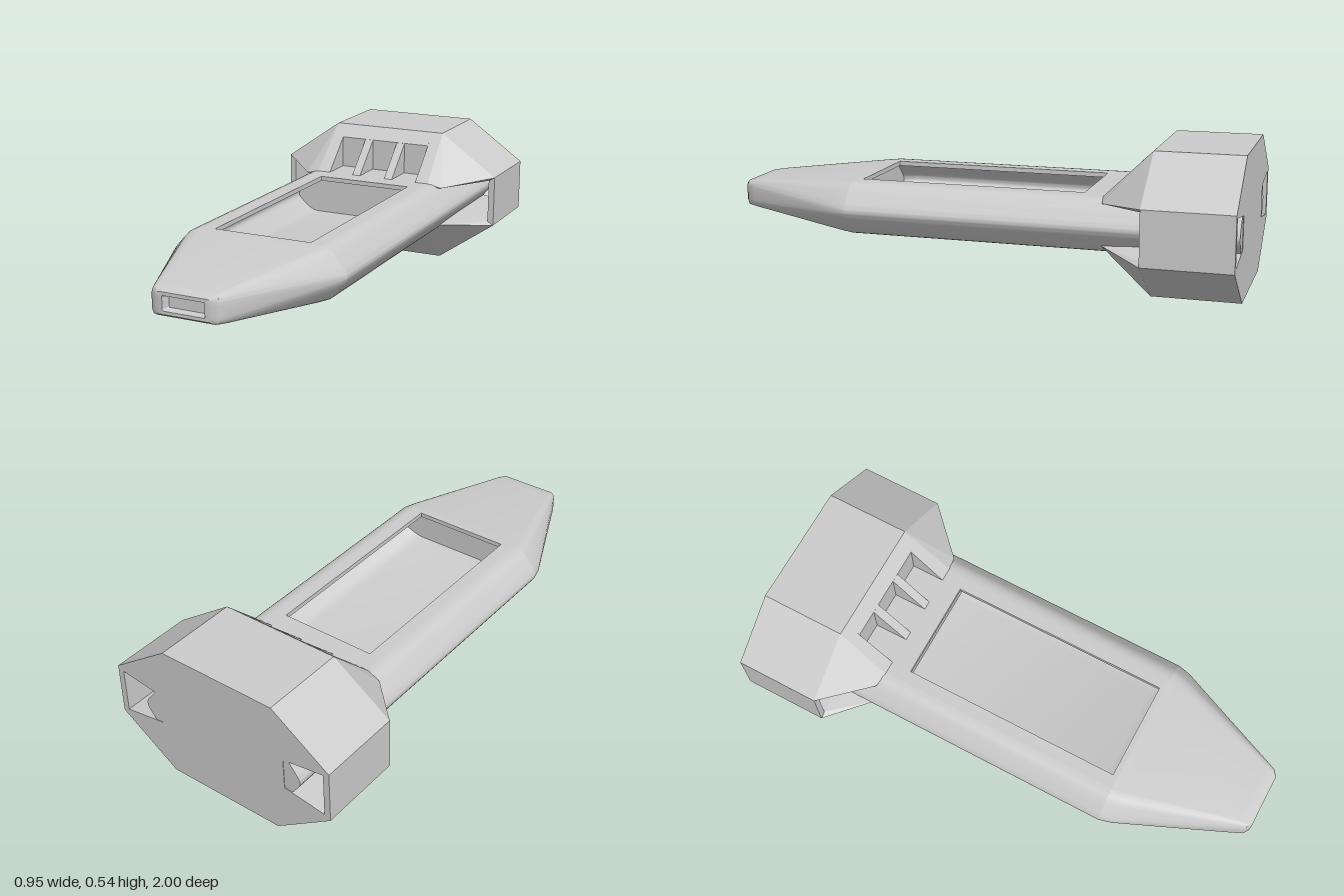
import * as THREE from 'three';
import { toCreasedNormals } from 'three/addons/utils/BufferGeometryUtils.js';
import { ConvexGeometry } from 'three/addons/geometries/ConvexGeometry.js';

const grey = new THREE.MeshStandardMaterial({ color: 0xcccccc });
const greyDouble = new THREE.MeshStandardMaterial({ color: 0xcccccc, side: THREE.DoubleSide });
const V = (x, y, z) => new THREE.Vector3(x, y, z);
const shapeOf = (pts) => new THREE.Shape(pts.map(([x, y]) => new THREE.Vector2(x, y)));

// Eight-cornered, left-right symmetric section with rounded corners, starting and ending on the top edge
function section(z, topW, topY, sideW, sideHi, sideLo, botY, r) {
  const half = [[topW, topY], [sideW, sideHi], [sideW, sideLo], [topW, botY]];
  const c = [...half.map(([x, y]) => V(-x, y, z)), ...half.reverse().map(([x, y]) => V(x, y, z))];
  const out = [];
  c.forEach((p, i) => {
    const toward = (q) => p.clone().lerp(q, Math.min(r / p.distanceTo(q), 1 / 3));
    const a = toward(c[(i + 7) % 8]), b = toward(c[(i + 1) % 8]);
    out.push(...new THREE.QuadraticBezierCurve3(a, p, b).getPoints(4));
  });
  return out;
}

// Skin through sections of rising z, optionally closed across the top and capped
function loft(sections, { closed = true, capBack = false, capFront = false }) {
  const n = sections[0].length, pos = [];
  const tri = (...ps) => ps.forEach((p) => pos.push(p.x, p.y, p.z));
  for (let i = 0; i < sections.length - 1; i++) {
    const A = sections[i], B = sections[i + 1];
    for (let j = 0; j < (closed ? n : n - 1); j++) {
      const k = (j + 1) % n;
      tri(A[j], A[k], B[k]);
      tri(A[j], B[k], B[j]);
    }
  }
  const first = sections[0], last = sections[sections.length - 1];
  for (let j = 1; j < n - 1; j++) {
    if (capBack) tri(first[0], first[j + 1], first[j]);
    if (capFront) tri(last[0], last[j], last[j + 1]);
  }
  const g = new THREE.BufferGeometry();
  g.setAttribute('position', new THREE.Float32BufferAttribute(pos, 3));
  return toCreasedNormals(g, 0.6);
}

// Side profile (z, y) extruded from x0 to x1
function slab(profile, x0, x1) {
  const g = new THREE.ExtrudeGeometry(shapeOf(profile), { depth: x1 - x0, bevelEnabled: false });
  return g.rotateY(-Math.PI / 2).translate(x1, 0, 0);
}

export function createModel() {
  const model = new THREE.Group();
  const add = (name, geometry, material = grey, parent = model) => {
    const m = new THREE.Mesh(geometry, material);
    m.name = name;
    parent.add(m);
    return m;
  };

  // Hexagonal hull, open along the top where the deck sits
  const hull = (z) => section(z, 0.28, 0.36, 0.348, 0.274, 0.246, 0.16, 0.035);
  add('hull', loft([hull(-0.998), hull(0.48)], { closed: false, capBack: true }));

  // Top deck with the rectangular bay opening
  const deckW = hull(0).at(-1).x;
  const deck = shapeOf([[-deckW, -0.48], [deckW, -0.48], [deckW, 0.998], [-deckW, 0.998]]);
  deck.holes.push(new THREE.Path([[-0.195, -0.46], [-0.195, 0.41], [0.195, 0.41], [0.195, -0.46]]
    .map(([x, y]) => new THREE.Vector2(x, y))));
  add('deck', new THREE.ExtrudeGeometry(deck, { depth: 0.018, bevelEnabled: false })
    .rotateX(-Math.PI / 2).translate(0, 0.342, 0));

  // Hollow interior seen through the bay
  const inner = (z, w, floor) => section(z, w, 0.342, w + 0.065, 0.28, 0.255, floor, 0.03);
  add('bayInterior', loft([inner(-0.44, 0.25, 0.2), inner(0.42, 0.25, 0.2), inner(0.478, 0.22, 0.23)],
    { closed: false, capBack: true, capFront: true }), greyDouble);

  // Tapered nose ending in a shallow rectangular socket
  add('nose', loft([
    hull(0.48),
    section(0.53, 0.268, 0.356, 0.335, 0.276, 0.244, 0.164, 0.035),
    section(0.95, 0.132, 0.317, 0.147, 0.295, 0.225, 0.206, 0.015),
    section(0.985, 0.122, 0.311, 0.131, 0.292, 0.228, 0.211, 0.015),
    section(1, 0.1, 0.3, 0.108, 0.288, 0.232, 0.221, 0.012),
    section(1, 0.082, 0.287, 0.082, 0.275, 0.245, 0.233, 0.004),
    section(0.975, 0.07, 0.28, 0.07, 0.27, 0.25, 0.24, 0.004),
  ], { capFront: true }));

  // Rear housing: octagonal block with an open window on each side of the hull
  const halfOct = [[0.475, 0.165], [0.475, 0.37], [0.24, 0.535]];
  const oct = shapeOf([[0.24, 0], ...halfOct,
    ...[...halfOct].reverse().map(([x, y]) => [-x, y]), [-0.24, 0]]);
  for (const s of [-1, 1]) {
    oct.holes.push(new THREE.Path([[0.45, 0.355], [0.28, 0.33], [0.28, 0.205], [0.45, 0.18]]
      .map(([x, y]) => new THREE.Vector2(s * x, y))));
  }
  add('rearHousing', new THREE.ExtrudeGeometry(oct, { depth: 0.33, bevelEnabled: false }).translate(0, 0, -1));

  // Sloping shoulders that blend the housing into the hull
  const shoulder = (s) => [
    [0.195, 0.535, -0.67], [0.24, 0.535, -0.67], [0.475, 0.37, -0.67], [0.45, 0.355, -0.67],
    [0.28, 0.33, -0.67], [0.195, 0.33, -0.67], [0.195, 0.36, -0.49], [0.25, 0.36, -0.49],
    [0.305, 0.345, -0.5], [0.195, 0.34, -0.49],
  ].map(([x, y, z]) => V(s * x, y, z));
  const upper = new THREE.Group();
  upper.name = 'upperShoulder';
  model.add(upper);
  for (const s of [-1, 1]) add('shoulderSide', new ConvexGeometry(shoulder(s)), grey, upper);

  // Back wall of the three notches, and the two fins between them
  add('notchBack', slab([[-0.67, 0.35], [-0.62, 0.35], [-0.62, 0.487], [-0.67, 0.535]], -0.195, 0.195), grey, upper);
  for (const s of [-1, 1]) {
    add('notchFin', slab([[-0.67, 0.35], [-0.49, 0.35], [-0.49, 0.36], [-0.67, 0.535]],
      s * 0.0725 - 0.0175, s * 0.0725 + 0.0175), grey, upper);
  }

  // Plain lower shoulder, the upper one turned over
  const lower = add('lowerShoulder', new ConvexGeometry([...shoulder(-1), ...shoulder(1)]));
  lower.rotation.z = Math.PI;
  lower.position.y = 0.535;

  return model;
}
